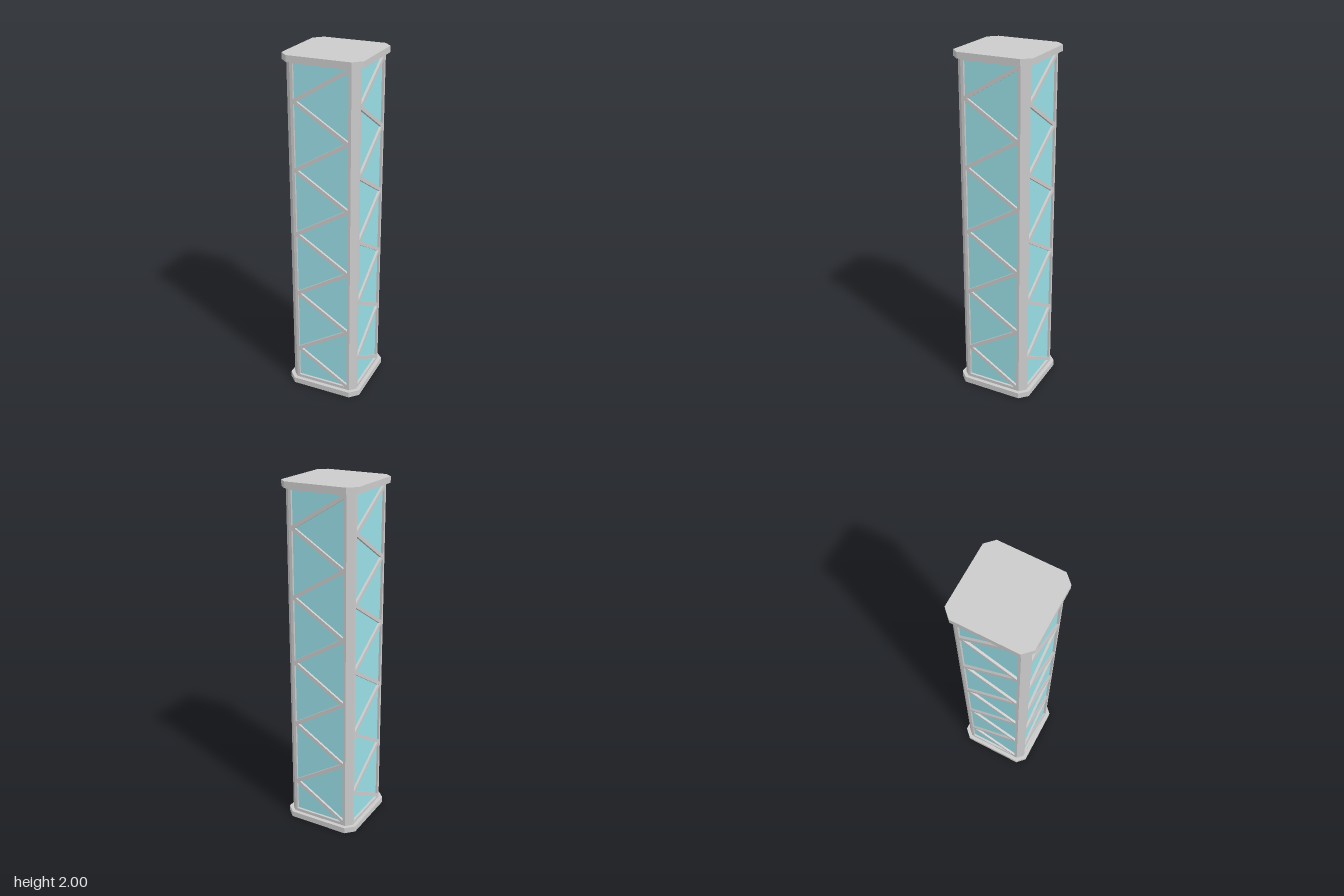
import * as THREE from 'three';

const grey = new THREE.MeshStandardMaterial({ color: 0xcccccc, flatShading: true });
const glass = new THREE.MeshStandardMaterial({ color: 0x9ae0e8, flatShading: true });

const HEIGHT = 2, PLATE = 0.034;             // overall height, end plate thickness
const FACE = 0.203, EDGE = 0.17;             // shaft half width, start of its corner chamfer
const OPEN = 0.154, LOW = 0.052, HIGH = 1.956; // window opening inside the frame
const BAYS = 10, Y0 = 0.055, PITCH = 0.1895; // zigzag bracing
const HALF_BAR = 0.012;                      // half bar thickness measured vertically

const polygon = (Type, points) => new Type(points.map(([x, y]) => new THREE.Vector2(x, y)));

function add(parent, name, geometry, material) {
  const mesh = new THREE.Mesh(geometry, material);
  mesh.name = name;
  parent.add(mesh);
  return mesh;
}

// Upright prism from a plan outline
function prism(points, height, y) {
  const geometry = new THREE.ExtrudeGeometry(polygon(THREE.Shape, points), { depth: height, bevelEnabled: false });
  return geometry.rotateX(-Math.PI / 2).translate(0, y, 0);
}

// Square outline with chamfered corners
function chamferedSquare(a, b) {
  return [[a, -b], [a, b], [b, a], [-b, a], [-a, b], [-a, -b], [-b, -a], [b, -a]];
}

// Flat frame whose triangular openings leave a zigzag of bars
function latticeGeometry() {
  const shape = polygon(THREE.Shape, [
    [-EDGE, PLATE], [EDGE, PLATE], [EDGE, HEIGHT - PLATE], [-EDGE, HEIGHT - PLATE]]);
  const nodeY = (i) => Y0 + i * PITCH;
  const slope = PITCH / (2 * OPEN);
  for (let i = 1; i < BAYS; i++) {
    const side = i % 2 ? -1 : 1;
    const reach = 2 * OPEN * (1 - HALF_BAR / PITCH);
    shape.holes.push(polygon(THREE.Path, [
      [-side * OPEN, nodeY(i - 1) + HALF_BAR],
      [-side * OPEN, nodeY(i + 1) - HALF_BAR],
      [side * (reach - OPEN), nodeY(i)]]));
  }
  // Half bays at the bottom and the top
  for (const [rail, y] of [[LOW, nodeY(1) - HALF_BAR], [HIGH, nodeY(BAYS - 1) + HALF_BAR]]) {
    const run = Math.abs(y - rail) / slope;
    shape.holes.push(polygon(THREE.Path, [[-OPEN, rail], [-OPEN, y], [run - OPEN, rail]]));
  }
  return new THREE.ExtrudeGeometry(shape, { depth: 0.016, bevelEnabled: false })
    .translate(0, 0, FACE - 0.016);
}

export function createModel() {
  const model = new THREE.Group();
  model.name = 'latticeColumn';

  // End plates
  const outline = chamferedSquare(0.225, 0.178);
  add(model, 'basePlate', prism(outline, PLATE, 0), grey);
  add(model, 'topPlate', prism(outline, PLATE, HEIGHT - PLATE), grey);

  // Four identical sides, each with a frame, a glass pane and a corner post
  const shaft = HEIGHT - 2 * PLATE;
  const lattice = latticeGeometry();
  const pane = new THREE.BoxGeometry(2 * EDGE, shaft, 0.012).translate(0, HEIGHT / 2, 0.184);
  const post = prism([[EDGE, -FACE], [FACE, -EDGE], [EDGE, -EDGE]], shaft, PLATE);
  for (let i = 0; i < 4; i++) {
    const side = new THREE.Group();
    side.name = ['front', 'left', 'back', 'right'][i] + 'Side';
    side.rotation.y = i * Math.PI / 2;
    add(side, 'latticeFrame', lattice, grey);
    add(side, 'glassPane', pane, glass);
    add(side, 'cornerPost', post, grey);
    model.add(side);
  }
  return model;
}
